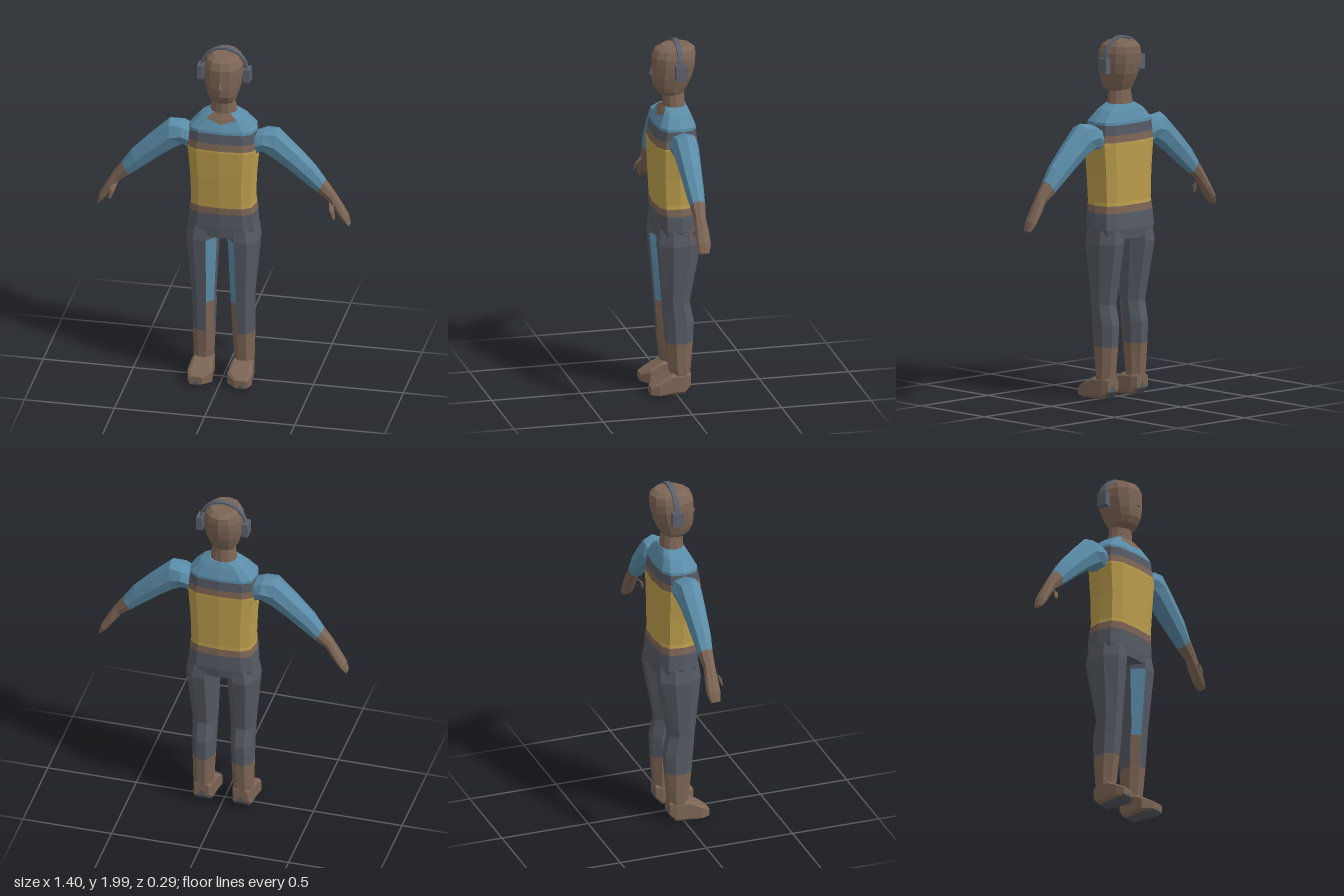
import * as THREE from 'three';

const mat = (name, color) => {
  const m = new THREE.MeshStandardMaterial({ color });
  m.name = name;
  return m;
};
const V = (x, y, z) => new THREE.Vector3(x, y, z);

// Ring of n points around c, spanned by half-axes A and B; e < 1 makes it boxier.
function ring(c, A, B, n = 12, e = 1, turned = false) {
  const off = turned ? Math.PI / n : 0;
  const k = turned ? Math.pow(Math.cos(off), e) : 1;
  const f = (v) => (Math.abs(v) < 1e-9 ? 0 : (Math.sign(v) * Math.pow(Math.abs(v), e)) / k);
  return Array.from({ length: n }, (_, j) => {
    const a = (j / n) * Math.PI * 2 + off;
    return c.clone().addScaledVector(A, f(Math.cos(a))).addScaledVector(B, f(Math.sin(a)));
  });
}

// Faceted, capped skin over rings; pick(i, j, t) chooses a material index per triangle.
function loft(name, rings, mats, pick = () => 0, side = 1) {
  const buckets = mats.map(() => []);
  const n = rings[0].length;
  const last = rings.length - 1;
  const tri = (m, a, b, c) => {
    for (const p of side > 0 ? [a, b, c] : [a, c, b]) buckets[m].push(p.x * side, p.y, p.z);
  };
  for (let i = 0; i < last; i++) {
    for (let j = 0; j < n; j++) {
      const k = (j + 1) % n;
      const a = rings[i][j], b = rings[i + 1][j], c = rings[i + 1][k], d = rings[i][k];
      if (j % 2) {
        tri(pick(i, j, 0), a, b, c);
        tri(pick(i, j, 1), a, c, d);
      } else {
        tri(pick(i, j, 0), d, b, c);
        tri(pick(i, j, 1), a, b, d);
      }
    }
  }
  const mid = (r) => r.reduce((s, p) => s.add(p), V(0, 0, 0)).divideScalar(n);
  const m0 = mid(rings[0]), m1 = mid(rings[last]);
  for (let j = 0; j < n; j++) {
    const k = (j + 1) % n;
    tri(pick(0, j, 1), m0, rings[0][j], rings[0][k]);
    tri(pick(last - 1, j, 0), m1, rings[last][k], rings[last][j]);
  }
  const g = new THREE.BufferGeometry();
  g.setAttribute('position', new THREE.Float32BufferAttribute(buckets.flat(), 3));
  let start = 0;
  buckets.forEach((b, m) => {
    g.addGroup(start, b.length / 3, m);
    start += b.length / 3;
  });
  g.computeVertexNormals();
  const mesh = new THREE.Mesh(g, mats);
  mesh.name = name;
  return mesh;
}

// Upright ring from [y, centreX, halfWidth, zFront, zBack]
const upright = ([y, cx, w, zf, zb], n, e, turned) =>
  ring(V(cx, y, (zf + zb) / 2), V(w, 0, 0), V(0, 0, (zf - zb) / 2), n, e, turned);

// Insert interpolated rows at the heights where the colour changes
function addCuts(rows, cuts) {
  const out = [...rows];
  for (const y of cuts) {
    const i = rows.findIndex((r) => r[0] > y);
    const a = rows[i - 1], b = rows[i], t = (y - a[0]) / (b[0] - a[0]);
    out.push(a.map((v, k) => v + (b[k] - v) * t));
  }
  return out.sort((a, b) => a[0] - b[0]);
}

export function createModel() {
  const skin = mat('brown skin', 0x7c6555);
  const teal = mat('teal sleeve', 0x5b8ca8);
  const yellow = mat('yellow vest', 0xbb9c4c);
  const dark = mat('charcoal trousers', 0x555962);
  const gear = mat('headphone grey', 0x5c606c);
  const model = new THREE.Group();
  model.name = 'figure';

  // Torso with horizontal colour bands and a collar notch
  const torso = addCuts([
    [0.895, 0, 0.18, 0.095, -0.135],
    [0.95, 0, 0.195, 0.1, -0.142],
    [1.03, 0, 0.19, 0.1, -0.135],
    [1.1, 0, 0.18, 0.102, -0.128],
    [1.25, 0, 0.185, 0.11, -0.13],
    [1.42, 0, 0.2, 0.115, -0.132],
    [1.54, 0, 0.187, 0.095, -0.122],
    [1.6, 0, 0.13, 0.062, -0.1],
    [1.63, 0, 0.075, 0.045, -0.085],
  ], [1.04, 1.08, 1.43, 1.47, 1.525, 1.575]);
  const bands = [[1.04, 3], [1.08, 0], [1.43, 2], [1.47, 0], [1.525, 3], [2, 1]];
  model.add(loft('torso', torso.map((r) => upright(r, 12, 0.62)), [skin, teal, yellow, dark], (i, j, t) => {
    const y = (torso[i][0] + torso[i + 1][0]) / 2;
    const front = j === 2 || j === 3;
    if (front && (y > 1.6 || (y > 1.575 && t === 0))) return 0;
    return bands.find((b) => y < b[0])[1];
  }));

  // Neck and head
  model.add(loft('neck', [[1.61, 0, 0.078, 0.045, -0.085], [1.72, 0, 0.06, 0.045, -0.075]]
    .map((r) => upright(r)), [skin]));
  model.add(loft('head', [
    [1.69, 0, 0.058, 0.045, -0.065],
    [1.715, 0, 0.075, 0.08, -0.08],
    [1.75, 0, 0.086, 0.1, -0.1],
    [1.8, 0, 0.1, 0.107, -0.123],
    [1.86, 0, 0.108, 0.106, -0.138],
    [1.91, 0, 0.107, 0.104, -0.142],
    [1.95, 0, 0.092, 0.085, -0.138],
    [1.972, 0, 0.068, 0.045, -0.11],
  ].map((r) => upright(r, 12, 0.92)), [skin]));
  const nose = new THREE.Mesh(new THREE.ConeGeometry(0.02, 0.06, 4).toNonIndexed(), skin);
  nose.geometry.computeVertexNormals();
  nose.position.set(0, 1.84, 0.1);
  nose.name = 'nose';
  model.add(nose);

  // Headphone band
  const arch = new THREE.Shape();
  arch.absarc(0, 0, 0.132, 0, Math.PI, false);
  arch.absarc(0, 0, 0.12, Math.PI, 0, true);
  const band = new THREE.Mesh(
    new THREE.ExtrudeGeometry(arch, { depth: 0.028, bevelEnabled: false, curveSegments: 10 }), gear);
  band.position.set(0, 1.868, -0.044);
  band.name = 'headphoneBand';
  model.add(band);

  // Arm stations: top x, y, bottom x, y, zFront, zBack
  const armRows = [
    [0.16, 1.51, 0.16, 1.37, 0.05, -0.08],
    [0.23, 1.535, 0.22, 1.4, 0.058, -0.1],
    [0.3, 1.545, 0.28, 1.36, 0.055, -0.09],
    [0.42, 1.43, 0.35, 1.31, 0.045, -0.08],
    [0.51, 1.335, 0.45, 1.23, 0.035, -0.07],
    [0.565, 1.255, 0.515, 1.18, 0.022, -0.062],
    [0.615, 1.185, 0.577, 1.135, 0.015, -0.052],
    [0.66, 1.105, 0.62, 1.075, 0.018, -0.06],
    [0.69, 1.05, 0.66, 1.02, 0.018, -0.06],
    [0.702, 1.0, 0.692, 0.99, 0.008, -0.045],
  ];
  const armRings = armRows.map(([tx, ty, bx, by, zf, zb]) => ring(
    V((tx + bx) / 2, (ty + by) / 2, (zf + zb) / 2),
    V((tx - bx) / 2, (ty - by) / 2, 0), V(0, 0, (zb - zf) / 2), 8, 0.9));

  // Leg rows: y, centreX, halfWidth, zFront, zBack
  const legRows = addCuts([
    [0.1, 0.11, 0.052, 0.03, -0.08],
    [0.13, 0.112, 0.053, 0.03, -0.08],
    [0.3, 0.11, 0.058, 0.05, -0.094],
    [0.42, 0.108, 0.061, 0.06, -0.1],
    [0.53, 0.108, 0.064, 0.068, -0.075],
    [0.87, 0.115, 0.085, 0.098, -0.135],
    [0.95, 0.103, 0.085, 0.09, -0.13],
  ], [0.48]);

  // Foot sections: z, centreX, halfWidth, top, bottom
  const footRows = [
    [-0.08, 0.11, 0.04, 0.125, 0.05],
    [-0.045, 0.11, 0.055, 0.13, 0.012],
    [0.03, 0.11, 0.06, 0.128, 0.01],
    [0.1, 0.11, 0.068, 0.088, 0.008],
    [0.145, 0.125, 0.036, 0.062, 0.015],
  ];

  for (const s of [1, -1]) {
    const tag = s > 0 ? 'left' : 'right';
    model.add(loft(tag + 'Arm', armRings, [skin, teal], (i) => (i < 5 ? 1 : 0), s));

    // Thumb
    const thumb = [[0.6, 1.13, 0.0, 0.014], [0.608, 1.1, 0.034, 0.014], [0.622, 1.055, 0.045, 0.009]]
      .map(([x, y, z, r]) => ring(V(x, y, z), V(r, 0, 0), V(0, r * 0.6, r * -0.8), 6));
    model.add(loft(tag + 'Thumb', thumb.map((r) => r), [skin], () => 0, s));

    // Leg with a coloured strip on the front inner facet
    model.add(loft(tag + 'Leg', legRows.map((r) => upright(r, 8, 1, true)), [skin, teal, dark], (i, j) => {
      const y = (legRows[i][0] + legRows[i + 1][0]) / 2;
      if (y < 0.3) return 0;
      if (j === 2 && y < 0.87) return y < 0.48 ? 0 : 1;
      return 2;
    }, s));

    // Shoe with a dark sole
    model.add(loft(tag + 'Foot', footRows.map(([z, cx, w, t, b]) =>
      ring(V(cx, (t + b) / 2, z), V(w, 0, 0), V(0, (b - t) / 2, 0), 8, 0.35, true)),
    [skin, dark], (i, j) => (j === 1 && i < 4 ? 1 : 0), s));

    // Ear cup
    const cup = new THREE.Mesh(new THREE.BoxGeometry(0.036, 0.08, 0.062), gear);
    cup.position.set(s * 0.128, 1.845, -0.03);
    cup.name = tag + 'EarCup';
    model.add(cup);
  }
  return model;
}
